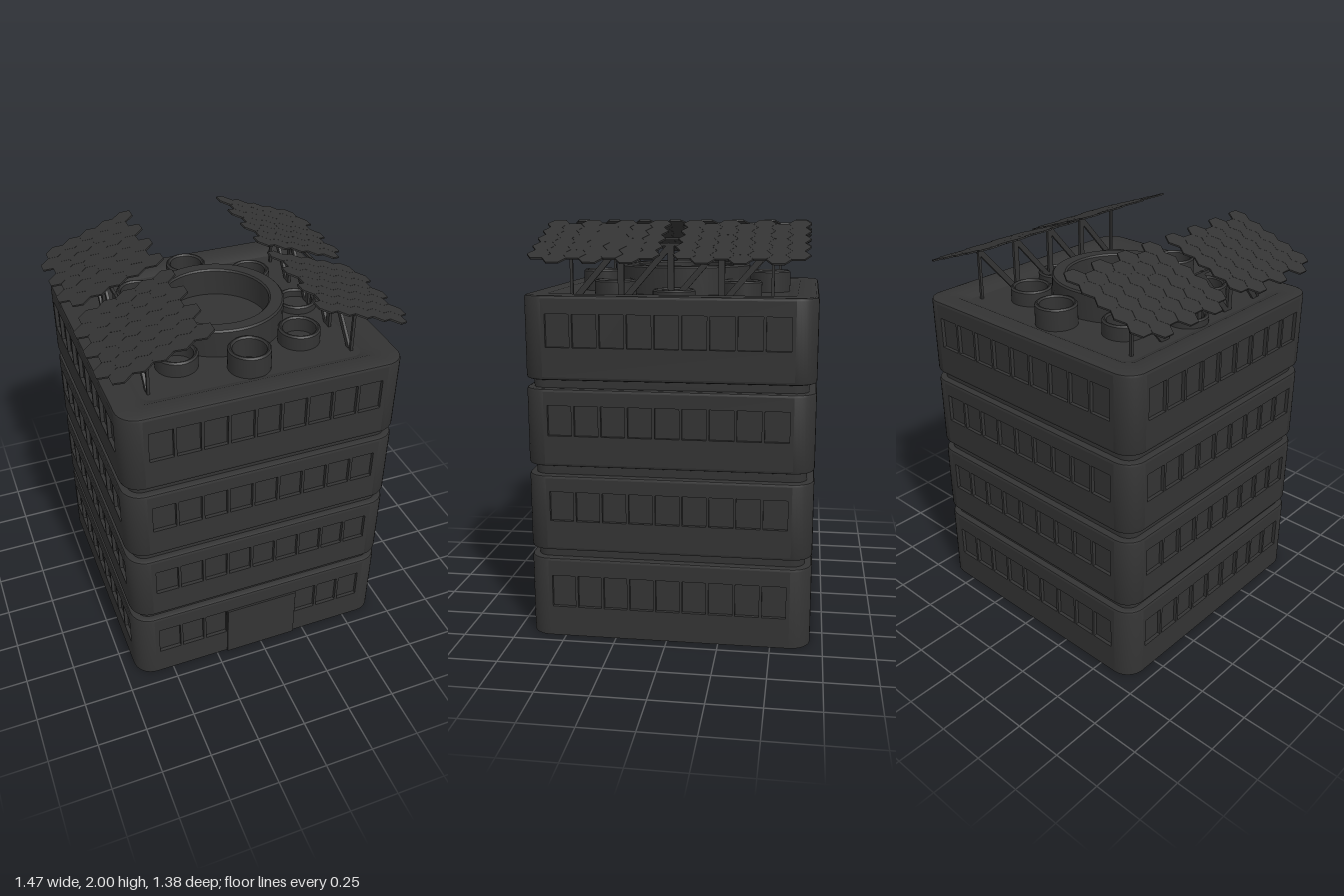
import * as THREE from 'three';
import { toCreasedNormals } from 'three/addons/utils/BufferGeometryUtils.js';

const material = new THREE.MeshStandardMaterial({ color: 0x333333, side: THREE.DoubleSide });
const HX = 0.69, HZ = 0.685, CORNER = 0.1, CZ = -0.005;
const ROOF = 1.645, BEVEL = 0.015;

// bottom, top, window sill and window head of every storey
const FLOORS = [
  [0, 0.4, 0.15, 0.31],
  [0.44, 0.815, 0.59, 0.735],
  [0.86, 1.235, 1.01, 1.155],
  [1.275, 1.67, 1.43, 1.585],
];

function add(parent, name, geometry, x = 0, y = 0, z = 0) {
  const mesh = new THREE.Mesh(geometry, material);
  mesh.name = name;
  mesh.position.set(x, y, z);
  parent.add(mesh);
  return mesh;
}

// rounded rectangle at a given inset from the outer wall
function ring(inset, y) {
  const r = Math.max(CORNER - inset, 0.05), points = [];
  const cx = HX - inset - r, cz = HZ - inset - r;
  for (let k = 0; k < 4; k++) {
    const sx = k === 0 || k === 3 ? 1 : -1, sz = k < 2 ? 1 : -1;
    for (let j = 0; j <= 8; j++) {
      const a = (k + j / 8) * Math.PI / 2;
      points.push([sx * cx + r * Math.cos(a), y, sz * cz + r * Math.sin(a)]);
    }
  }
  return points;
}

// loft through the [inset, y] profile, leaving flat wall sides open for the window panels
function shellGeometry(profile) {
  const pos = [];
  for (let s = 0; s + 1 < profile.length; s++) {
    const lo = ring(...profile[s]), hi = ring(...profile[s + 1]);
    const wall = profile[s][0] === 0 && profile[s + 1][0] === 0;
    lo.forEach((p, i) => {
      if (wall && i % 9 === 8) return;
      const n = (i + 1) % lo.length;
      pos.push(...p, ...hi[i], ...hi[n], ...p, ...hi[n], ...lo[n]);
    });
  }
  const g = new THREE.BufferGeometry();
  g.setAttribute('position', new THREE.Float32BufferAttribute(pos, 3));
  return toCreasedNormals(g, 0.6);
}

function rectPath(target, x0, y0, x1, y1) {
  target.moveTo(x0, y0);
  target.lineTo(x1, y0);
  target.lineTo(x1, y1);
  target.lineTo(x0, y1);
  target.closePath();
  return target;
}

// straight wall with a row of nine recessed windows
function windowWall(half, lo, hi, sill, head, withDoor) {
  const group = new THREE.Group();
  group.name = 'windowWall';
  const shape = rectPath(new THREE.Shape(), -half, lo, half, hi);
  for (let i = -4; i <= 4; i++) {
    if (withDoor && Math.abs(i) < 2) continue;
    const x = i * 0.1275;
    shape.holes.push(rectPath(new THREE.Path(), x - 0.057, sill, x + 0.057, head));
    add(group, 'windowPane', new THREE.PlaneGeometry(0.114, head - sill), x, (sill + head) / 2, -0.018);
  }
  const depth = 0.02;
  add(group, 'wallPanel', new THREE.ExtrudeGeometry(shape, { depth, bevelEnabled: false }), 0, 0, -depth);
  return group;
}

// open pipe with small bevels on its top edge
function pipe(outer, inner, top) {
  const b = 0.008;
  const pts = [[outer, ROOF], [outer, top - b], [outer - b, top], [inner + b, top], [inner, top - b], [inner, ROOF]];
  return toCreasedNormals(new THREE.LatheGeometry(pts.map(p => new THREE.Vector2(...p)), 48), 0.6);
}

// tilted honeycomb of solar cells, 7 rows of 5
function solarPanel(side) {
  const group = new THREE.Group();
  group.name = 'solarPanel';
  const R = 0.0562, W = 0.0962;
  const cell = new THREE.CylinderGeometry(0.0555, 0.0555, 0.008, 6);
  for (let row = 0; row < 7; row++) {
    for (let col = 0; col < 5; col++) {
      const x = (col - 2 + (row % 2 ? 0.25 : -0.25)) * W;
      const mesh = add(group, 'solarCell', cell, side * x, 0, (row - 3) * 1.5 * R);
      mesh.material = solarMaterial;
    }
  }
  group.rotation.z = -side * THREE.MathUtils.degToRad(-20) * -1;
  return group;
}
const solarMaterial = new THREE.MeshStandardMaterial({ color: 0x333333, flatShading: true });

// flat bar between two points in a plane of constant x
function bar(parent, name, x, y0, z0, y1, z1, width) {
  const dy = y1 - y0, dz = z1 - z0;
  const mesh = add(parent, name, new THREE.BoxGeometry(0.014, Math.hypot(dy, dz), width), x, (y0 + y1) / 2, (z0 + z1) / 2);
  mesh.rotation.x = Math.atan2(dz, dy);
}

export function createModel() {
  const model = new THREE.Group();
  model.name = 'building';
  const body = new THREE.Group();
  body.name = 'body';
  body.position.z = CZ;
  model.add(body);

  // storeys joined by recessed necks, ending in a sunken roof
  const profile = [];
  FLOORS.forEach(([y0, y1, sill, head], f) => {
    const lo = f ? y0 + BEVEL : 0, hi = y1 - BEVEL;
    if (f) profile.push([0.035, y0], [BEVEL, y0], [0.004, y0 + 0.004]);
    profile.push([0, lo], [0, hi], [0.004, y1 - 0.004], [BEVEL, y1]);
    if (f < 3) profile.push([0.035, y1]);
    for (let k = 0; k < 4; k++) {
      const onX = k % 2 === 1;
      const wall = windowWall((onX ? HZ : HX) - CORNER, lo, hi, sill, head, f === 0 && k === 0);
      const a = k * Math.PI / 2, d = onX ? HX : HZ;
      wall.rotation.y = a;
      wall.position.set(Math.sin(a) * d, 0, Math.cos(a) * d);
      body.add(wall);
    }
  });
  profile.push([0.1, 1.67], [0.15, ROOF]);
  add(body, 'storeyShell', shellGeometry(profile));
  const roof = new THREE.PlaneGeometry(2 * (HX - 0.15), 2 * (HZ - 0.15)).rotateX(-Math.PI / 2);
  add(body, 'roof', roof, 0, ROOF, 0);
  add(model, 'door', new THREE.BoxGeometry(0.385, 0.31, 0.024), 0, 0.155, 0.678);

  // central ring with eight vents around it
  add(body, 'roofRing', pipe(0.333, 0.26, 1.785));
  for (let i = 0; i < 8; i++) {
    const a = i * Math.PI / 4;
    const top = i % 2 ? 1.72 : i % 4 ? 1.752 : 1.685;
    add(body, 'vent', pipe(0.102, 0.08, top), Math.cos(a) * 0.437, 0, Math.sin(a) * 0.437);
  }

  // solar arrays on trusses along both sides
  for (const side of [-1, 1]) {
    const x = side * 0.5, top = 1.895;
    const array = new THREE.Group();
    array.name = side > 0 ? 'leftSolarArray' : 'rightSolarArray';
    model.add(array);
    for (const z of [-0.338, 0.338]) {
      const panel = solarPanel(side);
      panel.position.set(side * 0.487, 1.91, z);
      array.add(panel);
    }
    for (let i = -2; i <= 2; i++) {
      const z = i * 0.238;
      bar(array, 'post', x, ROOF, z, top, z, Math.abs(i) === 2 ? 0.014 : 0.03);
      if (i > -2) bar(array, 'brace', x, ROOF, z - 0.02, top, z - 0.238, 0.028);
    }
    bar(array, 'topBeam', x, top, -0.48, top, 0.48, 0.014);
  }
  return model;
}
